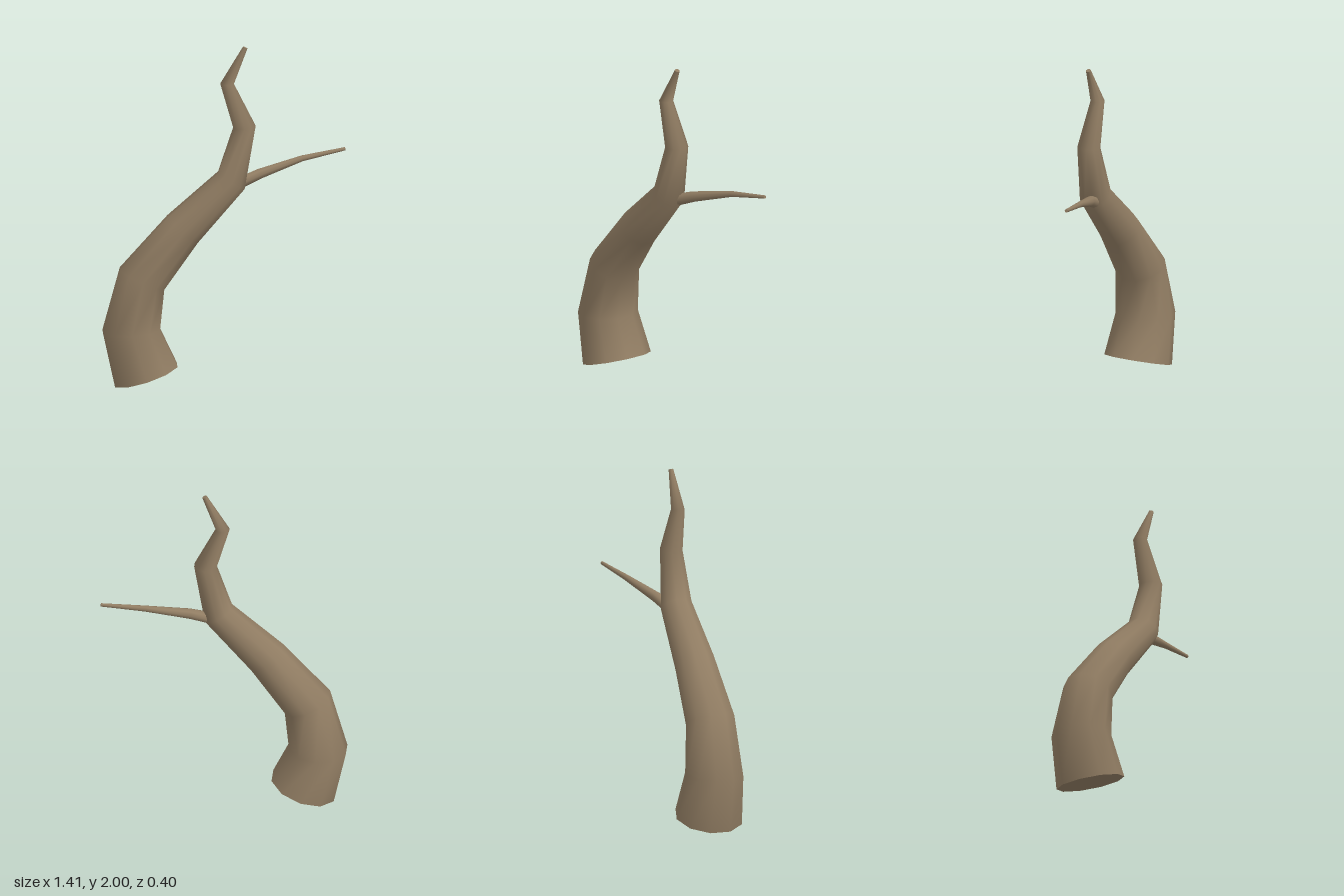
import * as THREE from 'three';

// Skin a row of rings { c: centre, u, v: radius vectors, with v x u pointing along the limb }
function limb(rings, sides) {
  const pos = [], index = [];
  const addRing = ({ c, u, v }) => {
    const start = pos.length / 3;
    for (let i = 0; i < sides; i++) {
      const a = (i / sides) * Math.PI * 2;
      const p = c.clone().addScaledVector(u, Math.sin(a)).addScaledVector(v, Math.cos(a));
      pos.push(p.x, p.y, p.z);
    }
    return start;
  };
  rings.forEach(addRing);
  for (let r = 0; r < rings.length - 1; r++) {
    for (let i = 0; i < sides; i++) {
      const j = (i + 1) % sides;
      const a = r * sides + i, b = r * sides + j;
      index.push(a, b, b + sides, a, b + sides, a + sides);
    }
  }
  // Flat end caps on their own vertices, so the rims stay sharp
  const bottom = addRing(rings[0]);
  const top = addRing(rings[rings.length - 1]);
  for (let i = 1; i < sides - 1; i++) {
    index.push(bottom, bottom + i + 1, bottom + i);
    index.push(top, top + i, top + i + 1);
  }
  const g = new THREE.BufferGeometry();
  g.setAttribute('position', new THREE.Float32BufferAttribute(pos, 3));
  g.setIndex(index);
  g.computeVertexNormals();
  return g;
}

export function createModel() {
  const group = new THREE.Group();
  group.name = 'bareTree';
  const bark = new THREE.MeshStandardMaterial({ color: 0x917d63 });
  bark.name = 'bark';

  const add = (name, geometry) => {
    const mesh = new THREE.Mesh(geometry, bark);
    mesh.name = name;
    group.add(mesh);
  };

  // Crooked trunk: left and right edge of each ring, tapering evenly
  const edges = [
    [-0.635, 0.003, -0.275, 0.12],
    [-0.705, 0.32, -0.375, 0.335],
    [-0.605, 0.69, -0.35, 0.575],
    [-0.33, 1.0, -0.155, 0.85],
    [-0.035, 1.255, 0.11, 1.165],
    [0.05, 1.52, 0.175, 1.53],
    [-0.025, 1.78, 0.05, 1.78],
    [0.105, 2.0, 0.13, 1.988],
  ];
  add('trunk', limb(edges.map(([x0, y0, x1, y1], i) => {
    const r = 0.199 - 0.0264 * i;
    return {
      c: new THREE.Vector3((x0 + x1) / 2, (y0 + y1) / 2, 0),
      u: new THREE.Vector3(x1 - x0, y1 - y0, 0).setLength(r),
      v: new THREE.Vector3(0, 0, r),
    };
  }), 10));

  // Side branch: centre and radius of each ring
  const path = [
    [0.06, 1.177, -0.012, 0.036],
    [0.2, 1.232, -0.058, 0.031],
    [0.45, 1.303, -0.139, 0.018],
    [0.7, 1.346, -0.19, 0.01],
  ];
  const points = path.map(([x, y, z]) => new THREE.Vector3(x, y, z));
  add('branch', limb(points.map((c, i) => {
    const d = points[Math.min(i + 1, 3)].clone().sub(points[Math.max(i - 1, 0)]).normalize();
    const v = new THREE.Vector3(0, 1, 0).cross(d).normalize();
    const u = d.clone().cross(v);
    return { c, u: u.multiplyScalar(path[i][3]), v: v.multiplyScalar(path[i][3]) };
  }), 8));

  return group;
}
